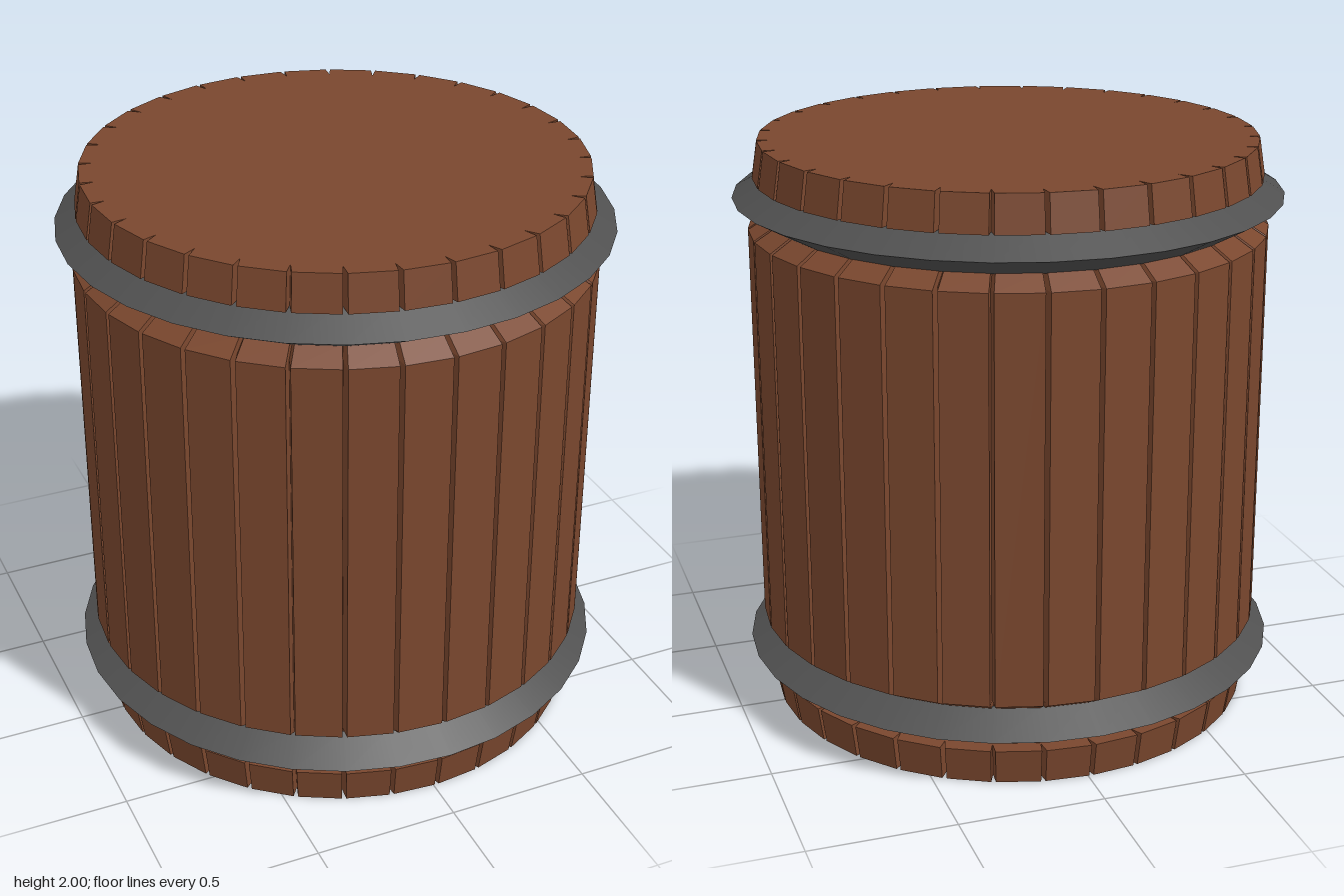
import * as THREE from 'three';

const STAVES = 32;
const STEP = (Math.PI * 2) / STAVES;
const deg = THREE.MathUtils.degToRad;

// One ring of the stave section: each stave is a flat chord between slanted V-grooves
function staveRing(r, y) {
  const ring = [];
  for (let i = 0; i < STAVES; i++) {
    const a = i * STEP;
    const corners = [[deg(0.3), r], [deg(0.45), Math.max(0, r - 0.05)], [deg(1.35), r]];
    for (const [da, radius] of corners) {
      ring.push(new THREE.Vector3(radius * Math.sin(a + da), y, radius * Math.cos(a + da)));
    }
  }
  return ring;
}

// Joins the rings of a [radius, height] profile, bottom to top, into a flat-shaded skin
function loftStaves(profile) {
  const rings = profile.map(([r, y]) => staveRing(r, y));
  const positions = [];
  const addTriangle = (a, b, c) => {
    if (a.equals(b) || b.equals(c) || c.equals(a)) return;
    for (const p of [a, b, c]) positions.push(p.x, p.y, p.z);
  };
  for (let i = 0; i < rings.length - 1; i++) {
    const low = rings[i], high = rings[i + 1], n = low.length;
    for (let j = 0; j < n; j++) {
      const k = (j + 1) % n;
      addTriangle(low[j], low[k], high[k]);
      addTriangle(low[j], high[k], high[j]);
    }
  }
  const geometry = new THREE.BufferGeometry();
  geometry.setAttribute('position', new THREE.Float32BufferAttribute(positions, 3));
  geometry.computeVertexNormals();
  return geometry;
}

// A hoop with a sharp ridge: two open cones meeting at the widest point
function makeHoop(name, y, material) {
  const hoop = new THREE.Group();
  hoop.name = name;
  const height = 0.07, inner = 0.81, outer = 0.935;
  for (const side of [-1, 1]) {
    const top = side > 0 ? inner : outer;
    const bottom = side > 0 ? outer : inner;
    const cone = new THREE.Mesh(
      new THREE.CylinderGeometry(top, bottom, height, STAVES, 1, true, deg(1)), material);
    cone.name = side > 0 ? 'hoopUpperFace' : 'hoopLowerFace';
    cone.position.y = side * height / 2;
    hoop.add(cone);
  }
  hoop.position.y = y;
  return hoop;
}

export function createModel() {
  const wood = new THREE.MeshStandardMaterial({ color: 0x7a472e, flatShading: true });
  const iron = new THREE.MeshStandardMaterial({ color: 0x505050, side: THREE.DoubleSide });
  const barrel = new THREE.Group();
  barrel.name = 'barrel';

  // Staves and both lids, with recessed channels for the hoops
  const lowerHalf = [[0, 0], [0.845, 0], [0.865, 0.125], [0.81, 0.125], [0.81, 0.255], [0.885, 0.3]];
  const upperHalf = lowerHalf.map(([r, y]) => [r, 2 - y]).reverse();
  const body = new THREE.Mesh(loftStaves([...lowerHalf, ...upperHalf]), wood);
  body.name = 'staves';
  barrel.add(body);

  // Iron hoops
  barrel.add(makeHoop('lowerHoop', 0.195, iron), makeHoop('upperHoop', 1.81, iron));
  return barrel;
}
